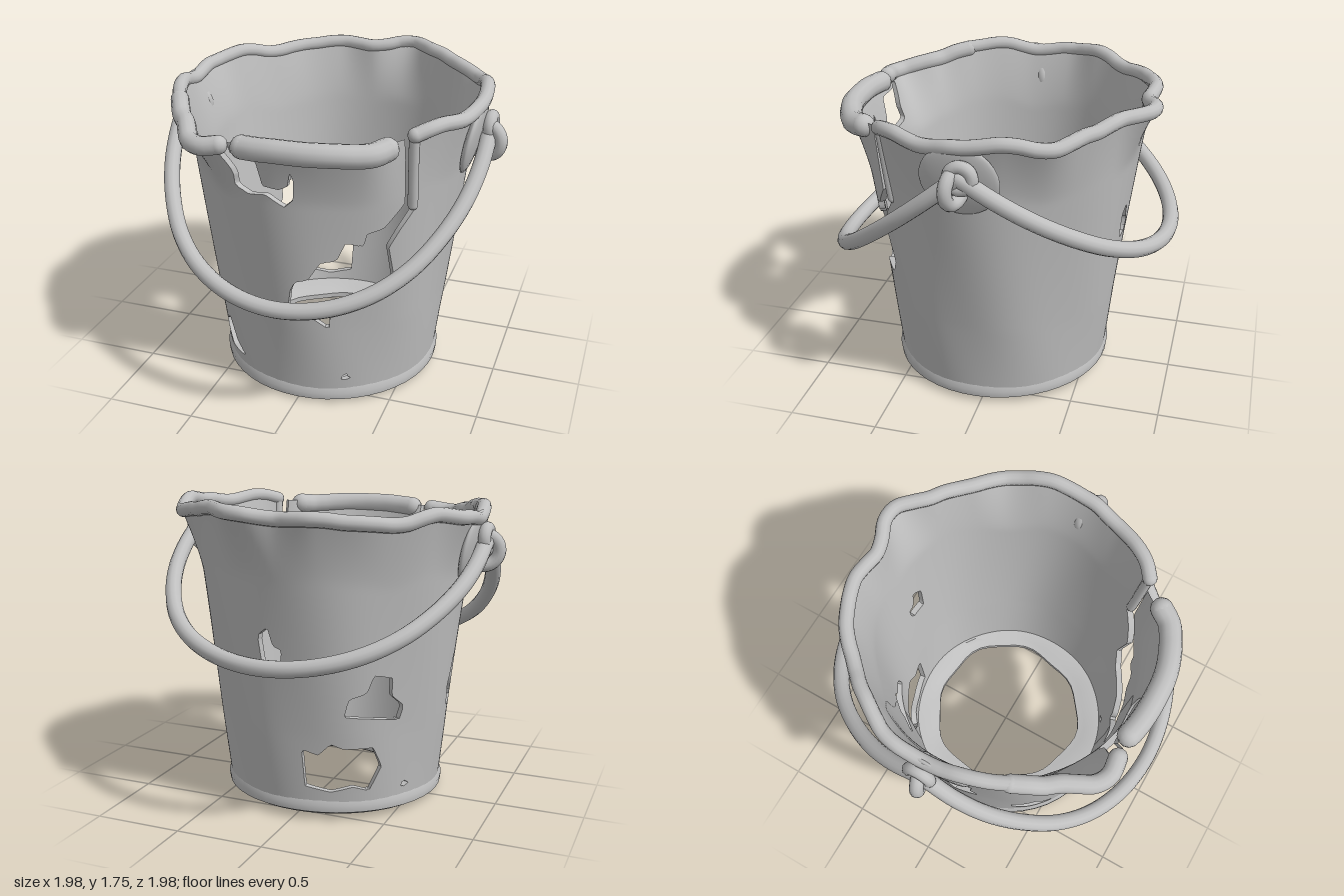
import * as THREE from 'three';
import { toCreasedNormals } from 'three/addons/utils/BufferGeometryUtils.js';

const metal = new THREE.MeshStandardMaterial({ color: 0xbfbfbf });
metal.name = 'worn grey metal';
const RAD = Math.PI / 180, CZ = 0.025;

// Rim radius and height every 15 degrees, from the front towards +x
const RIM_R = [.84, .85, .85, .79, .82, .83, .85, .86, .87, .83, .83, .9, .81, .85, .85, .83, .84, .87, .85, .85, .85, .87, .94, .84];
const RIM_Y = [1.64, 1.64, 1.63, 1.65, 1.69, 1.67, 1.7, 1.73, 1.69, 1.72, 1.75, 1.75, 1.72, 1.73, 1.71, 1.69, 1.73, 1.7, 1.67, 1.71, 1.69, 1.64, 1.6, 1.63];

function around(table, deg) {
  const t = (((deg % 360) + 360) % 360) / 15, i = Math.floor(t), f = t - i;
  const s = f * f * (3 - 2 * f);
  return table[i % 24] * (1 - s) + table[(i + 1) % 24] * s;
}

const baseRadius = (y) => 0.615 + 0.115 * y;

// Wall radius: a cone with soft dents that flares into the uneven rim
function wallRadius(deg, y) {
  const top = around(RIM_Y, deg) - 0.04;
  const s = THREE.MathUtils.clamp((y - top + 0.34) / 0.34, 0, 1);
  const dent = 0.007 * Math.sin(deg * RAD * 7 + y * 2) * Math.min(1, y * 2);
  return baseRadius(y) + dent * (1 - s) + (around(RIM_R, deg) - baseRadius(top)) * Math.pow(s, 1.5);
}

function polar(deg, r, y) {
  return new THREE.Vector3(r * Math.sin(deg * RAD), y, r * Math.cos(deg * RAD) + CZ);
}

// Torn holes of the front, as x and y
const FRONT_HOLES = [
  [[-.31, 1.9], [-.31, 1.52], [-.27, 1.4], [-.28, 1.32], [-.2, 1.29], [-.1, 1.31], [0, 1.25], [.05, 1.3], [.06, 1.42], [.04, 1.47],
    [.03, 1.38], [-.02, 1.35], [-.11, 1.36], [-.13, 1.5], [-.26, 1.52], [-.26, 1.9]],
  [[.57, 1.9], [.57, 1.5], [.56, 1.25], [.47, 1.12], [.4, 1.1], [.38, 1.02], [.3, 1.05], [.25, .94], [.17, .93], [.1, .82], [.03, .8],
    [0, .74], [-.02, .62], [.08, .6], [.2, .5], [.2, .57], [.28, .67], [.45, .68], [.51, .78], [.49, 1], [.54, 1.1], [.61, 1.22], [.61, 1.4], [.635, 1.9]],
  [[.24, .15], [.3, .15], [.27, .2]],
  [[-.56, .33], [-.52, .3], [-.47, .36], [-.42, .22], [-.35, .15], [-.48, .14], [-.55, .24]],
];
// Torn holes of the sides and back, as degrees and y
const BACK_HOLES = [
  [[-154, .62], [-152, .72], [-144, .75], [-141, .85], [-132, .82], [-132, .72], [-125, .65], [-127, .57], [-141, .6]],
  [[-173, .2], [-174, .42], [-166, .39], [-160, .46], [-154, .43], [-140, .43], [-135, .31], [-141, .17], [-149, .2], [-160, .17]],
  [[-89, .54], [-92, .68], [-84, .84], [-78, .82], [-80, .67], [-76, .57]],
  [[-191, .9], [-192, 1.05], [-187, 1.1], [-185, 1], [-181, .98], [-182, .9]],
  [[-123, .15], [-121, .2], [-117, .16]],
];
const ARC = 0.72 * RAD;
const holes = [
  ...FRONT_HOLES.map((h) => h.map(([x, y]) => [Math.asin(x / baseRadius(y)) * 0.72, y])),
  ...BACK_HOLES.map((h) => h.map(([d, y]) => [d * ARC, y])),
];

// Distance to the nearest hole edge, negative inside a hole
function holeDistance(deg, y) {
  const u = deg * ARC;
  let best = Infinity;
  for (const h of holes) {
    let d = Infinity, inside = false;
    for (let i = 0, j = h.length - 1; i < h.length; j = i++) {
      const [ax, ay] = h[i], [bx, by] = h[j];
      const ex = bx - ax, ey = by - ay;
      const t = THREE.MathUtils.clamp(((u - ax) * ex + (y - ay) * ey) / (ex * ex + ey * ey), 0, 1);
      d = Math.min(d, Math.hypot(u - ax - ex * t, y - ay - ey * t));
      if ((ay > y) !== (by > y) && u < ax + (ex * (y - ay)) / ey) inside = !inside;
    }
    best = Math.min(best, inside ? -d : d);
  }
  return best;
}

// Two-skinned wall: grid triangles are clipped at the hole edges
function wallGeometry() {
  const cols = 210, rows = 56, out = [];
  const skin = (p, k) => polar(p.deg, wallRadius(p.deg, p.y) - k * 0.035, p.y);
  const tri = (a, b, c) => { for (const p of [a, b, c]) out.push(p.x, p.y, p.z); };
  const grid = [];
  for (let i = 0; i <= cols; i++) {
    const deg = -240 + (360 * i) / cols, top = around(RIM_Y, deg) - 0.04;
    grid.push([]);
    for (let j = 0; j <= rows; j++) {
      const y = 0.05 + ((top - 0.05) * j) / rows;
      grid[i].push({ deg, y, d: holeDistance(deg, y) });
    }
  }
  const clip = (t) => {
    const poly = [];
    let from = null, to = null;
    t.forEach((a, i) => {
      const b = t[(i + 1) % 3];
      if (a.d > 0) poly.push(a);
      if ((a.d > 0) !== (b.d > 0)) {
        const f = a.d / (a.d - b.d);
        const p = { deg: a.deg + (b.deg - a.deg) * f, y: a.y + (b.y - a.y) * f };
        poly.push(p);
        if (a.d > 0) from = p; else to = p;
      }
    });
    const o = poly.map((p) => skin(p, 0)), n = poly.map((p) => skin(p, 1));
    for (let k = 1; k + 1 < poly.length; k++) {
      tri(o[0], o[k], o[k + 1]);
      tri(n[0], n[k + 1], n[k]);
    }
    if (from && to) {
      const ao = skin(from, 0), ai = skin(from, 1), bo = skin(to, 0), bi = skin(to, 1);
      tri(bo, ao, ai);
      tri(bo, ai, bi);
    }
  };
  for (let i = 0; i < cols; i++) for (let j = 0; j < rows; j++) {
    const a = grid[i][j], b = grid[i + 1][j], c = grid[i + 1][j + 1], d = grid[i][j + 1];
    clip([a, b, c]);
    clip([a, c, d]);
  }
  const geo = new THREE.BufferGeometry();
  geo.setAttribute('position', new THREE.Float32BufferAttribute(out, 3));
  return toCreasedNormals(geo, 0.7);
}

function add(parent, name, geo) {
  const m = new THREE.Mesh(geo, metal);
  m.name = name;
  parent.add(m);
  return m;
}

// Round bar along a smooth path with rounded ends
function bar(parent, name, points, radius, segments) {
  const g = new THREE.Group();
  g.name = name;
  add(g, name + 'Bar', new THREE.TubeGeometry(new THREE.CatmullRomCurve3(points), segments, radius, 12));
  for (const p of [points[0], points[points.length - 1]])
    add(g, name + 'End', new THREE.SphereGeometry(radius, 12, 8)).position.copy(p);
  parent.add(g);
}

export function createModel() {
  const model = new THREE.Group();
  model.name = 'batteredBucket';
  add(model, 'wall', wallGeometry());

  // Rolled lip in pieces, broken at the cracks
  const lip = (name, from, to, radius) => {
    const pts = [], n = Math.ceil((to - from) / 6);
    for (let i = 0; i <= n; i++) {
      const deg = from + ((to - from) * i) / n;
      pts.push(polar(deg, around(RIM_R, deg) - 0.01, around(RIM_Y, deg) - radius));
    }
    bar(model, name, pts, radius, n * 3);
  };
  lip('frontLip', -14, 38, 0.062);
  lip('mainLip', 50, 300, 0.04);
  lip('cornerLip', 300, 338, 0.05);

  // Curled edge beside the long crack
  const curl = [1.6, 1.5, 1.4, 1.3, 1.22].map((y, i) => polar(50 + i * 0.6, wallRadius(50, y) - 0.015, y));
  bar(model, 'crackCurl', curl, 0.028, 16);

  // Foot ring around the open, uneven floor
  const profile = [[.46, .03], [.5, .01], [.6, 0], [.635, .02], [.64, .06], [.62, .1], [.58, .1], [.5, .07], [.46, .06], [.46, .03]];
  const foot = new THREE.LatheGeometry(profile.map(([x, y]) => new THREE.Vector2(x, y)), 48);
  const pos = foot.attributes.position;
  for (let i = 0; i < pos.count; i++) {
    const x = pos.getX(i), z = pos.getZ(i), a = Math.atan2(x, z);
    const inner = Math.hypot(x, z) < 0.55 ? 1 : 0;
    const s = 1 + inner * (0.025 * Math.sin(a * 3 + 1) + 0.02 * Math.sin(a * 8));
    pos.setXYZ(i, x * s + inner * 0.03, pos.getY(i) + (0.015 - z * 0.025), z * s + CZ - inner * 0.03);
  }
  add(model, 'footRing', toCreasedNormals(foot, 0.9));

  // Ear plates with rings that hold the handles
  for (const side of [1, -1]) {
    const plate = add(model, 'earPlate', new THREE.SphereGeometry(0.21, 28, 14));
    plate.scale.x = 0.18;
    plate.position.set(side * 0.807, 1.47, 0.04);
    plate.rotation.z = -side * 0.22;
    const ring = add(model, 'earRing', new THREE.TorusGeometry(0.085, 0.037, 12, 28));
    ring.position.set(side * 0.875, 1.46, 0.025 + side * 0.02);
    ring.rotation.y = -side * 0.3;
    const eye = add(model, 'handleEye', new THREE.TorusGeometry(0.06, 0.035, 12, 24));
    eye.position.set(side * 0.89, 1.52, 0.01);
    eye.rotation.y = Math.PI / 2;
  }

  // Two drooping handles: x against share of the reach
  const half = [[.89, 0], [.88, .2], [.84, .38], [.76, .56], [.64, .73], [.47, .87], [.25, .965]];
  const path = [...half.map(([x, t]) => [-x, t]), [0, 1], ...half.slice().reverse()];
  const handle = (name, reach, drop) =>
    bar(model, name, path.map(([x, t]) => new THREE.Vector3(x, 1.52 - drop * t, 0.02 + reach * t)), 0.045, 80);
  handle('frontHandle', 0.93, 0.775);
  handle('backHandle', -0.96, 0.57);
  return model;
}
